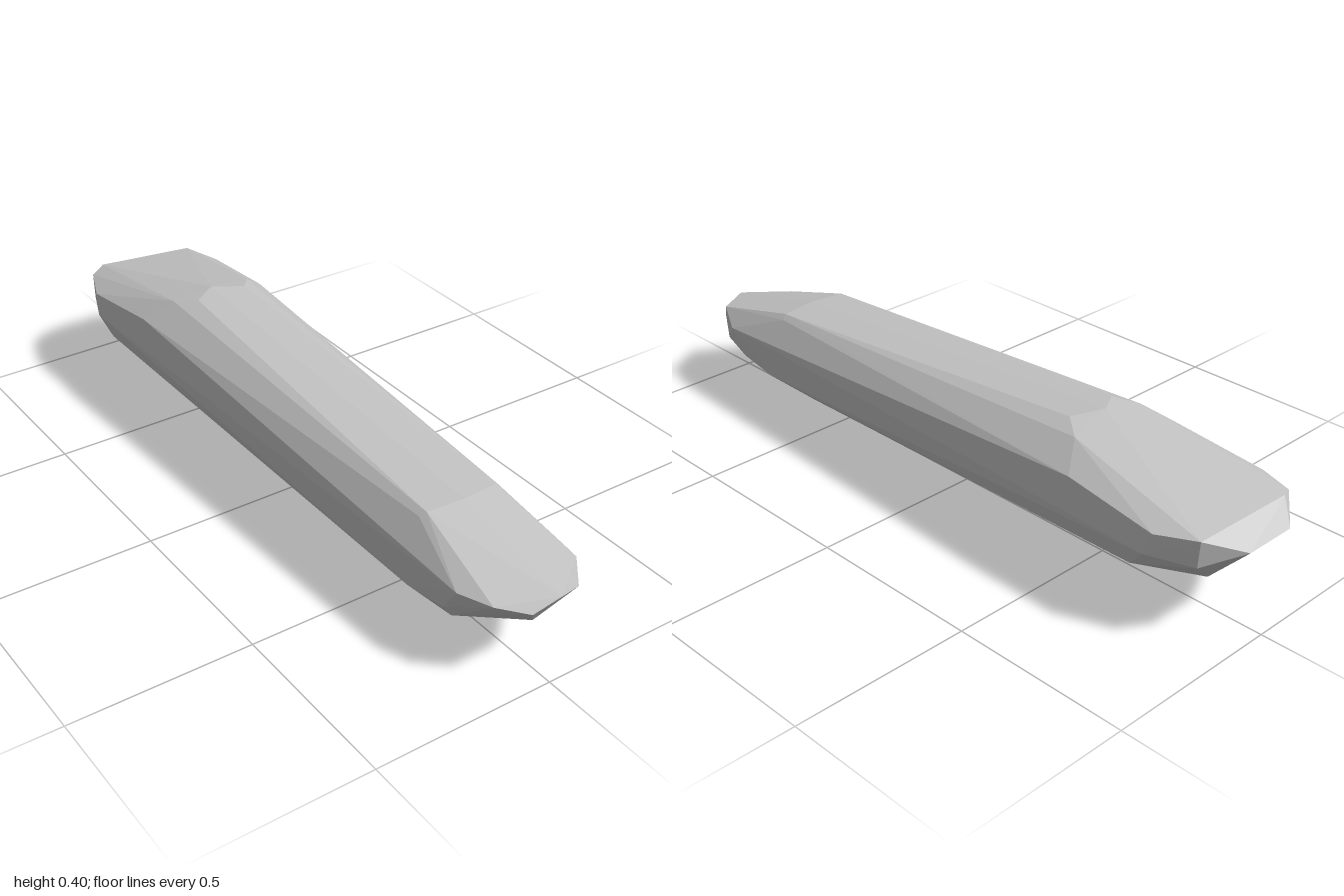
import * as THREE from 'three';
import { ConvexGeometry } from 'three/addons/geometries/ConvexGeometry.js';

// A faceted, tapering stone: wide and tall at the back, narrow at the front.
export function createModel() {
  const group = new THREE.Group();
  const stoneGrey = new THREE.MeshStandardMaterial({ color: 0xc2c2c2 });
  stoneGrey.flatShading = true;

  // corners that repeat on both sides
  const paired = [
    // front top
    [0.105, 0.32, 0.65], [0.12, 0.308, 0.64],
    // front sides
    [0.163, 0.23, 0.84], [0.163, 0.137, 0.66], [0.158, 0.155, 0.79],
    // crown
    [0.077, 0.396, -0.44], [0.123, 0.38, -0.5],
    // back shoulders and sides
    [0.197, 0.322, -0.55], [0.208, 0.29, -0.82], [0.215, 0.23, -0.8],
    [0.197, 0.174, -0.75], [0.165, 0.225, -0.92], [0.165, 0.298, -0.925],
    // back edge
    [0.075, 0.262, -0.998], [0.08, 0.148, -0.89],
  ];

  // corners that differ from side to side
  const single = [
    // front tip
    [0.01, 0.248, 1], [-0.06, 0.217, 0.985], [0.097, 0.217, 0.965],
    [0.125, 0.262, 0.92], [-0.128, 0.232, 0.93],
    [0.148, 0.182, 0.88], [-0.14, 0.128, 0.8], [0.015, 0.117, 0.91],
    // back rim
    [-0.12, 0.311, -0.945],
    // ridges above and below
    [0, 0.323, 0.66], [-0.01, 0.402, -0.48],
    [0.007, 0, 0.66], [0.02, 0.055, -0.57], [-0.105, 0.078, -0.55],
  ];

  const points = single.map((p) => new THREE.Vector3(...p));
  for (const [x, y, z] of paired) {
    points.push(new THREE.Vector3(x, y, z), new THREE.Vector3(-x, y, z));
  }

  const stone = new THREE.Mesh(new ConvexGeometry(points), stoneGrey);
  stone.name = 'stone';
  group.add(stone);
  return group;
}
